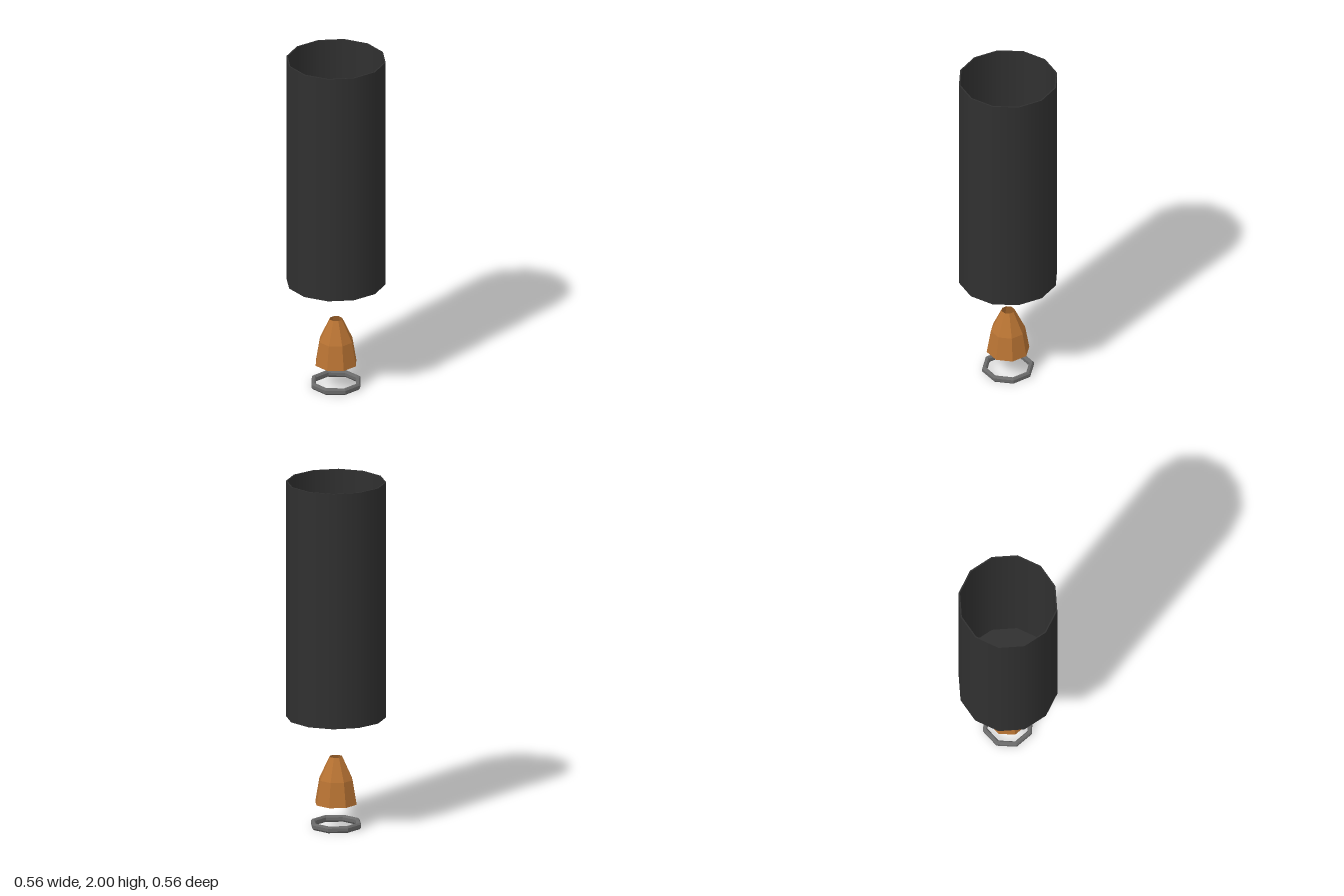
import * as THREE from 'three';

const dark = new THREE.MeshStandardMaterial({ color: 0x303030, side: THREE.DoubleSide });
dark.name = 'charcoal';
const copper = new THREE.MeshStandardMaterial({ color: 0xb87333, side: THREE.DoubleSide, flatShading: true });
copper.name = 'copper';
const steel = new THREE.MeshStandardMaterial({ color: 0x6a6a6a, side: THREE.DoubleSide, flatShading: true });
steel.name = 'grey steel';

const SIDES = 12;
const OUTER = 0.281, INNER = 0.273, BOTTOM = 0.64, TOP = 2, DISC_Y = 0.83;

const profile = (pairs) => pairs.map(([r, y]) => new THREE.Vector2(r, y));

export function createModel() {
  const model = new THREE.Group();
  const add = (parent, name, geometry, material, y = 0) => {
    const mesh = new THREE.Mesh(geometry, material);
    mesh.name = name;
    mesh.position.y = y;
    parent.add(mesh);
    return mesh;
  };

  // Thin-walled casing, open at both ends
  const casing = new THREE.Group();
  casing.name = 'casing';
  model.add(casing);
  const height = TOP - BOTTOM, middle = (TOP + BOTTOM) / 2;
  for (const [name, r] of [['outerWall', OUTER], ['innerWall', INNER]]) {
    add(casing, name, new THREE.CylinderGeometry(r, r, height, SIDES, 1, true), dark, middle);
  }
  for (const [name, y, turn] of [['topRim', TOP, -1], ['bottomRim', BOTTOM, 1]]) {
    add(casing, name, new THREE.RingGeometry(INNER, OUTER, SIDES).rotateX(turn * Math.PI / 2), dark, y);
  }

  // Partition recessed inside the lower end
  add(casing, 'partition', new THREE.CircleGeometry(INNER, SIDES).rotateX(-Math.PI / 2), dark, DISC_Y);

  // Open faceted nozzle
  add(model, 'nozzle', new THREE.LatheGeometry(profile([
    [0.122, 0.14], [0.098, 0.28], [0.037, 0.41],
  ]), 8), copper);

  // Bevelled retaining ring
  add(model, 'retainingRing', new THREE.LatheGeometry(profile([
    [0.139, 0], [0.148, 0.01], [0.148, 0.028], [0.14, 0.037],
    [0.129, 0.037], [0.121, 0.028], [0.121, 0.01], [0.129, 0], [0.139, 0],
  ]), 8), steel);

  return model;
}
